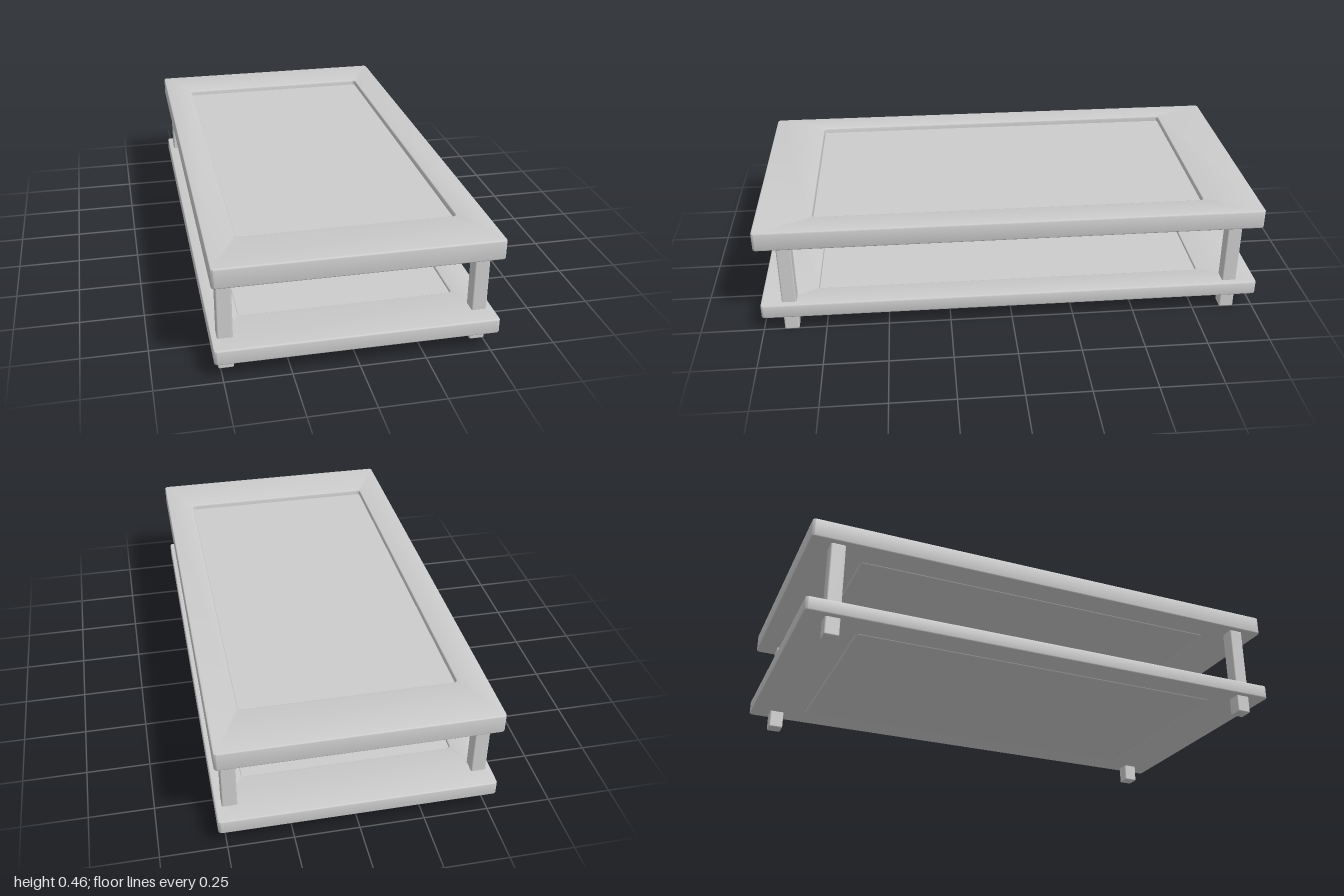
import * as THREE from 'three';
import { RoundedBoxGeometry } from 'three/addons/geometries/RoundedBoxGeometry.js';
import { toCreasedNormals } from 'three/addons/utils/BufferGeometryUtils.js';

const material = new THREE.MeshStandardMaterial({ color: 0xcccccc });

// Rounded rectangle outline, usable as a shape or a hole
function roundedRect(path, halfW, halfL, r) {
  path.moveTo(halfW, -halfL + r);
  path.lineTo(halfW, halfL - r);
  path.absarc(halfW - r, halfL - r, r, 0, Math.PI / 2);
  path.lineTo(-halfW + r, halfL);
  path.absarc(-halfW + r, halfL - r, r, Math.PI / 2, Math.PI);
  path.lineTo(-halfW, -halfL + r);
  path.absarc(-halfW + r, -halfL + r, r, Math.PI, Math.PI * 1.5);
  path.lineTo(halfW - r, -halfL);
  path.absarc(halfW - r, -halfL + r, r, Math.PI * 1.5, Math.PI * 2);
  return path;
}

function addMesh(parent, geometry, name, x, y, z) {
  const mesh = new THREE.Mesh(geometry, material);
  mesh.name = name;
  mesh.position.set(x, y, z);
  parent.add(mesh);
}

// Frame with a panel set slightly below its upper face
function framedBoard(name, bottom, top, recess) {
  const board = new THREE.Group();
  board.name = name;
  const bevel = 0.005;
  const outline = roundedRect(new THREE.Shape(), 0.53, 1, 0.014);
  outline.holes.push(roundedRect(new THREE.Path(), 0.413, 0.777, 0.014));
  const frame = new THREE.ExtrudeGeometry(outline, {
    depth: top - bottom - 2 * bevel, curveSegments: 4,
    bevelThickness: bevel, bevelSize: bevel, bevelOffset: -bevel, bevelSegments: 3,
  });
  frame.rotateX(-Math.PI / 2);
  addMesh(board, toCreasedNormals(frame, 0.6), name + 'Frame', 0, bottom + bevel, 0);

  const panelBottom = bottom - 0.002;
  const panelTop = top - recess;
  const panel = new RoundedBoxGeometry(0.828, panelTop - panelBottom, 1.556, 3, 0.005);
  addMesh(board, panel, name + 'Panel', 0, (panelTop + panelBottom) / 2, 0);
  return board;
}

export function createModel() {
  const table = new THREE.Group();
  table.name = 'coffeeTable';
  table.add(framedBoard('tabletop', 0.383, 0.46, 0.02));
  table.add(framedBoard('lowerShelf', 0.073, 0.13, 0.008));

  // Four square legs running through the shelf up to the tabletop
  const leg = new RoundedBoxGeometry(0.058, 0.385, 0.058, 3, 0.006);
  for (const [xName, x] of [['Left', 0.476], ['Right', -0.48]])
    for (const [zName, z] of [['front', 0.888], ['back', -0.892]])
      addMesh(table, leg, zName + xName + 'Leg', x, 0.1925, z);

  return table;
}
